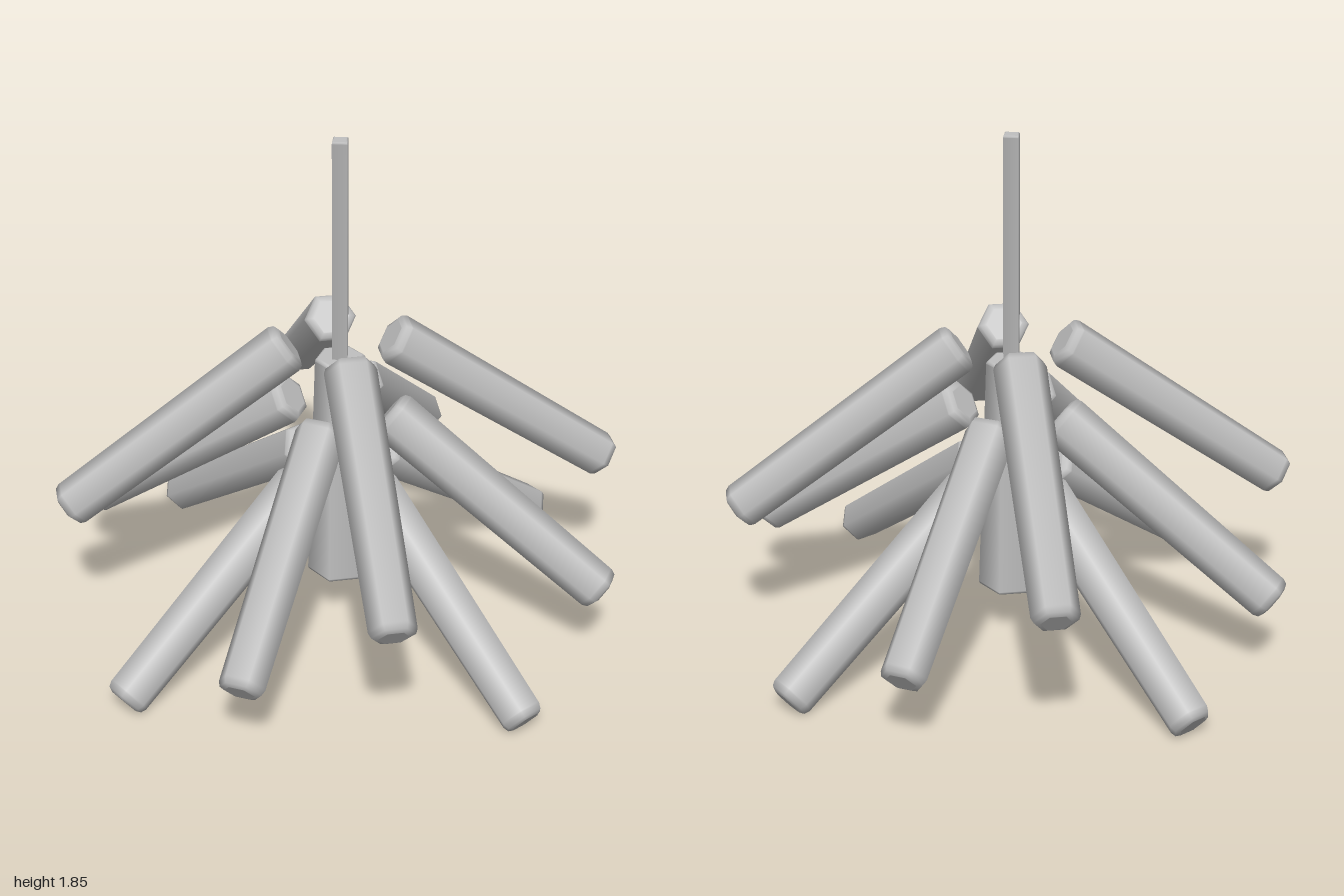
import * as THREE from 'three';

const wood = new THREE.MeshStandardMaterial({ color: 0xc0c0c0 });
wood.name = 'pale grey';

// Tapered prism along y with softened ends and smooth sides; corners point along z
function taperedBar(length, bottomR, topR, bevel, sides) {
  const h = length / 2, b = bevel;
  const half = (r, s) => [
    [0, s * h],
    [r - b * 1.15, s * h],
    [r - b, s * h],
    [r - b * 0.3, s * (h - b * 0.3)],
    [r, s * (h - b)],
    [r, s * (h - b * 1.2)],
  ];
  const profile = [...half(bottomR, -1), ...half(topR, 1).reverse()];
  return new THREE.LatheGeometry(profile.map(([x, y]) => new THREE.Vector2(x, y)), sides);
}

function addPart(parent, name, geometry, x, y) {
  const mesh = new THREE.Mesh(geometry, wood);
  mesh.name = name;
  mesh.position.set(x, y, 0);
  parent.add(mesh);
  return mesh;
}

export function createModel() {
  const model = new THREE.Group();
  model.name = 'hangingPegs';

  // Hexagonal centre post, wider at the foot
  addPart(model, 'centrePost', taperedBar(0.86, 0.117, 0.088, 0.01, 6), 0, 0.62);

  // Square hanging cord
  addPart(model, 'cord', taperedBar(0.855, 0.036, 0.036, 0.006, 4), 0, 1.4275);

  // Three tiers of four sloping pegs, each tier turned from the last
  const peg = taperedBar(0.971, 0.081, 0.091, 0.026, 6);
  const tiers = [
    { name: 'lowerPeg', turn: 0, lift: 0 },
    { name: 'middlePeg', turn: 60, lift: 0.247 },
    { name: 'upperPeg', turn: 30, lift: 0.495 },
  ];
  for (const { name, turn, lift } of tiers) {
    for (let i = 0; i < 4; i++) {
      const arm = new THREE.Group();
      arm.name = name + (i + 1);
      arm.rotation.y = -THREE.MathUtils.degToRad(turn + i * 90);
      const mesh = addPart(arm, name, peg, 0.57, 0.335 + lift);
      mesh.rotation.z = THREE.MathUtils.degToRad(54.4);
      model.add(arm);
    }
  }
  return model;
}
